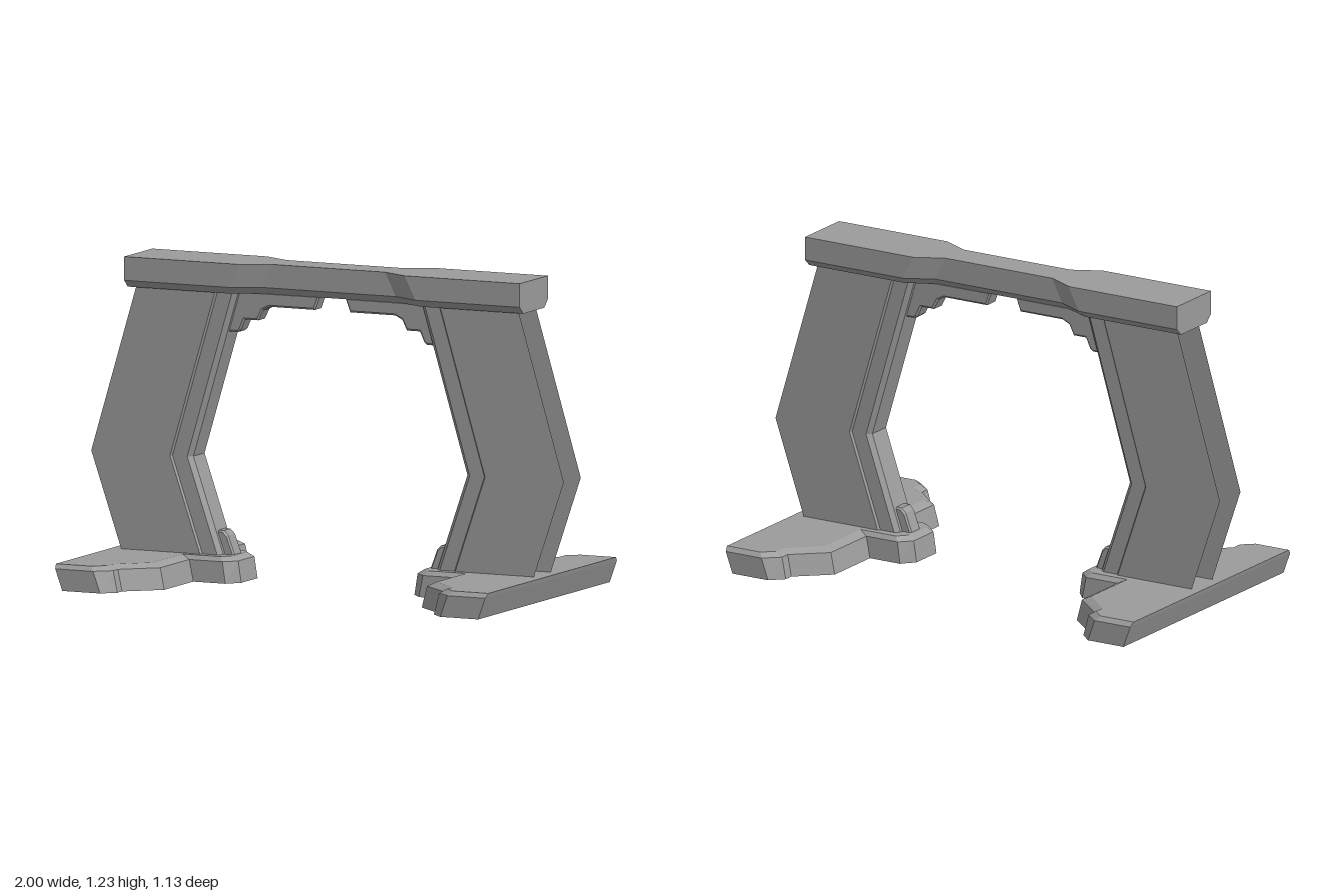
import * as THREE from 'three';

const material = new THREE.MeshStandardMaterial({
  color: 0x9b9b9b, flatShading: true, side: THREE.DoubleSide,
});

function addMesh(parent, name, geometry) {
  const mesh = new THREE.Mesh(geometry, material);
  mesh.name = name;
  parent.add(mesh);
}

// Stacks horizontal outlines. Each level is { y, half }, where half lists
// [x, z] from +x to -x on the front side and is mirrored to the back.
// An open loft has no caps and no wall at its +x end.
function loft(levels, open = false) {
  const rings = levels.map(({ y, half }) => [
    ...half.map(([x, z]) => new THREE.Vector3(x, y, z)),
    ...half.map(([x, z]) => new THREE.Vector3(x, y, -z)).reverse(),
  ]);
  const points = [];
  for (let k = 0; k < rings.length - 1; k++) {
    const a = rings[k], b = rings[k + 1];
    for (let i = 0; i < a.length - (open ? 1 : 0); i++) {
      const j = (i + 1) % a.length;
      points.push(a[i], b[i], a[j], a[j], b[i], b[j]);
    }
  }
  const cap = (ring, up) => {
    const flat = ring.map((p) => new THREE.Vector2(p.x, p.z));
    for (const [i, j, k] of THREE.ShapeUtils.triangulateShape(flat, [])) {
      points.push(ring[i], ring[up ? k : j], ring[up ? j : k]);
    }
  };
  if (!open) {
    cap(rings[0], false);
    cap(rings[rings.length - 1], true);
  }
  const geometry = new THREE.BufferGeometry().setFromPoints(points);
  geometry.computeVertexNormals();
  return geometry;
}

// Front-facing profile extruded evenly about z = 0, with bevelled rims
function slab(profile, depth, bevel) {
  const shape = new THREE.Shape(profile.map(([x, y]) => new THREE.Vector2(x, y)));
  return new THREE.ExtrudeGeometry(shape, {
    depth: depth - 2 * bevel, bevelSize: bevel, bevelThickness: bevel,
    bevelOffset: -bevel, bevelSegments: 1,
  }).translate(0, 0, bevel - depth / 2);
}

function createSide() {
  const side = new THREE.Group();

  // Foot: leaning walls, bevelled top edge, tongue towards the opening
  addMesh(side, 'foot', loft([
    { y: 0, half: [[0.88, 0.567], [0.72, 0.567], [0.67, 0.52], [0.67, 0.48], [0.545, 0.37],
      [0.545, 0.12], [0.41, 0.12], [0.367, 0.07]] },
    { y: 0.083, half: [[0.91, 0.567], [0.75, 0.567], [0.69, 0.515], [0.69, 0.475], [0.565, 0.365],
      [0.565, 0.115], [0.425, 0.115], [0.38, 0.07]] },
    { y: 0.1, half: [[0.915, 0.55], [0.765, 0.55], [0.72, 0.51], [0.72, 0.465], [0.6, 0.355],
      [0.6, 0.1], [0.44, 0.1], [0.405, 0.06]] },
  ]));

  // Leg: bent hollow shell, open on its outer side, with a chamfered inner strip
  const section = [[1, 0.073], [0.667, 0.073], [0.66, 0.065], [0.598, 0.065], [0.58, 0.048]];
  const bend = [[0.09, -0.13], [0.47, 0], [1.12, -0.193]];
  addMesh(side, 'leg', loft(bend.map(([y, shift]) => ({
    y, half: section.map(([x, z]) => [x + shift, z]),
  })), true));

  // Stepped bracket below the beam
  addMesh(side, 'upperBracket', slab([
    [0.055, 1.115], [0.075, 1.06], [0.265, 1.06], [0.295, 1.045], [0.315, 1.005], [0.37, 1.005],
    [0.388, 0.965], [0.4, 0.955], [0.46, 0.955], [0.43, 1.115],
  ], 0.07, 0.007));

  // Small block where the leg meets the foot
  addMesh(side, 'lowerBracket', slab([
    [0.5, 0.19], [0.46, 0.19], [0.442, 0.172], [0.41, 0.085], [0.47, 0.085],
  ], 0.07, 0.007));
  return side;
}

// Beam outline with a narrow waist; the shoulders can move outwards
function beamOutline(shoulder, inset) {
  const plan = [[0.837, 0.121], [0.35 + shoulder, 0.121], [0.24 + shoulder, 0.065]]
    .map(([x, z]) => [x, z - inset]);
  return [...plan, ...plan.map(([x, z]) => [-x, z]).reverse()];
}

export function createModel() {
  const model = new THREE.Group();
  model.name = 'archway';

  // Beam: slanted shoulders, chamfered lower edges
  addMesh(model, 'topBeam', loft([
    { y: 1.11, half: beamOutline(0.055, 0.03) },
    { y: 1.138, half: beamOutline(0.045, 0) },
    { y: 1.229, half: beamOutline(0, 0) },
  ]));

  // Each side is the same from front and back, so a half turn mirrors it
  for (const [name, turn] of [['leftSide', 0], ['rightSide', Math.PI]]) {
    const side = createSide();
    side.name = name;
    side.rotation.y = turn;
    model.add(side);
  }
  return model;
}
